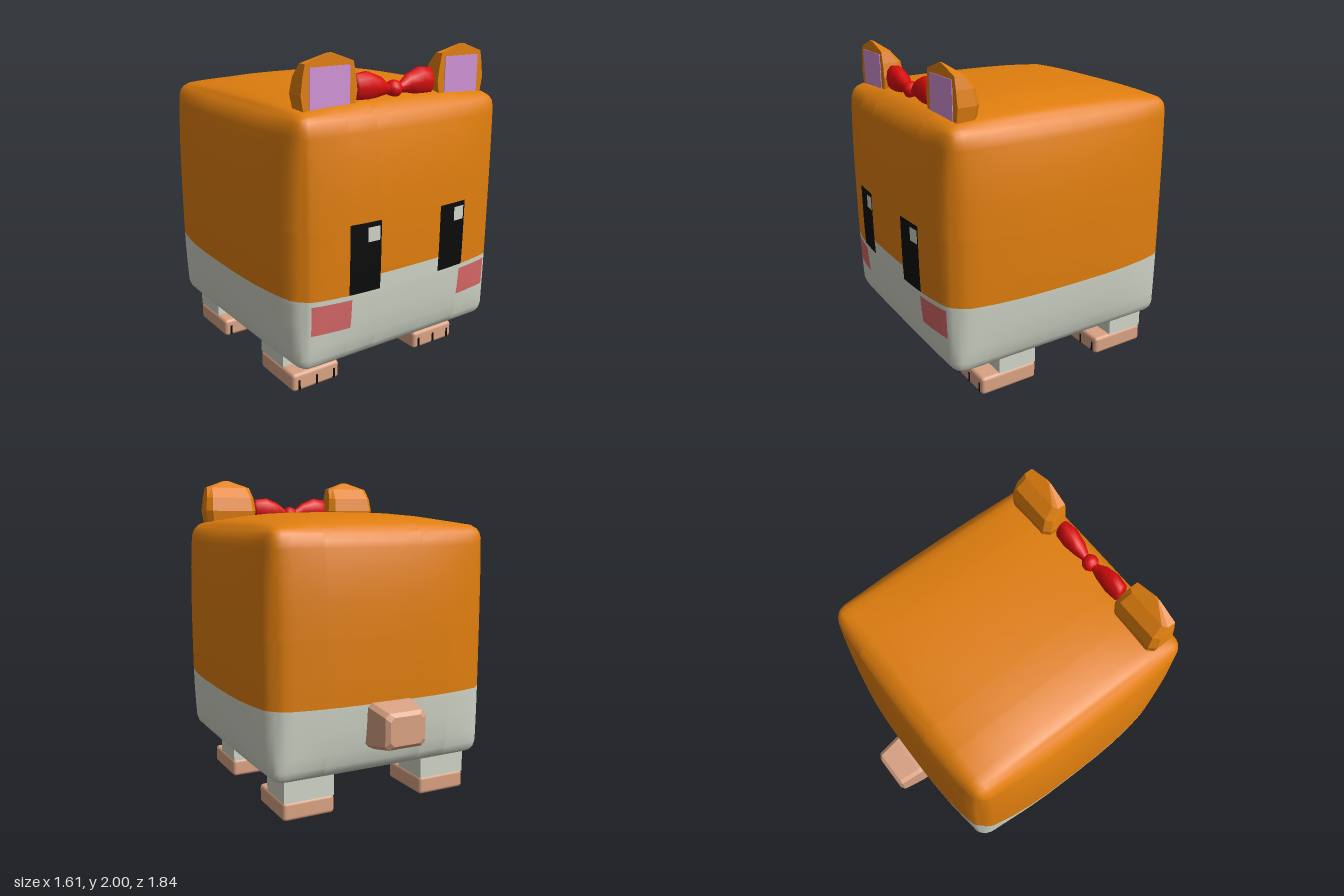
import * as THREE from 'three';
import { mergeVertices } from 'three/addons/utils/BufferGeometryUtils.js';
import { RoundedBoxGeometry } from 'three/addons/geometries/RoundedBoxGeometry.js';

const mat = (name, color) => {
  const m = new THREE.MeshStandardMaterial({ color });
  m.name = name;
  return m;
};

function part(parent, name, geometry, material, x = 0, y = 0, z = 0) {
  const mesh = new THREE.Mesh(geometry, material);
  mesh.name = name;
  mesh.position.set(x, y, z);
  parent.add(mesh);
  return mesh;
}

// Skin over a stack of rings (counter-clockwise seen from the far end), capped at both ends
function loft(rings, smooth) {
  const n = rings[0].length, pos = rings.flat(2), index = [];
  for (let i = 0; i < rings.length - 1; i++) {
    for (let j = 0; j < n; j++) {
      const a = i * n + j, b = i * n + (j + 1) % n;
      index.push(a, b, b + n, a, b + n, a + n);
    }
  }
  const last = (rings.length - 1) * n;
  for (let j = 1; j < n - 1; j++) index.push(0, j + 1, j, last, last + j, last + j + 1);
  let g = new THREE.BufferGeometry();
  g.setAttribute('position', new THREE.Float32BufferAttribute(pos, 3));
  g.setIndex(index);
  if (!smooth) g = g.toNonIndexed();
  g.computeVertexNormals();
  return g;
}

// Bulging rounded cube whose grid lines follow the face markings
function bodyGeometry(pickColor) {
  const xs = [-.72, -.69, -.66, -.6, -.5, -.435, -.415, -.32, -.24, -.23, -.1, 0, .1, .21, .325, .4, .405, .415, .5, .6, .65, .69, .72];
  const ys = [.24, .27, .32, .4, .475, .55, .65, .68, .77, .85, .975, 1.06, 1.09, 1.2, 1.3, 1.4, 1.5, 1.58, 1.62, 1.67, 1.7];
  const zs = [-.665, -.635, -.585, -.45, -.3, -.15, .09, .3, .45, .6, .7, .765, .815, .845];
  const center = new THREE.Vector3(0, .97, .09), half = new THREE.Vector3(.72, .73, .755);
  const r = .08, core = half.clone().subScalar(r), coreMin = core.clone().negate();
  let g = new THREE.BoxGeometry(2, 2, 2, xs.length - 1, ys.length - 1, zs.length - 1);
  const p = g.attributes.position;
  const at = (list, c) => list[Math.round((c + 1) / 2 * (list.length - 1))];
  const fade = (a, b) => (1 - Math.abs(a) ** 3) * (1 - Math.abs(b) ** 3);
  for (let i = 0; i < p.count; i++) {
    const v = new THREE.Vector3(at(xs, p.getX(i)), at(ys, p.getY(i)), at(zs, p.getZ(i))).sub(center);
    const u = v.clone().divide(half);
    const inner = v.clone().clamp(coreMin, core);
    v.sub(inner).setLength(r).add(inner).add(center);
    v.x += .085 * u.x ** 3 * fade(u.y, u.z);
    v.y += (u.y > 0 ? .08 : .02) * Math.sign(u.y) * u.y ** 8 * fade(u.x, u.z);
    v.z += .077 * u.z ** 3 * fade(u.x, u.y);
    p.setXYZ(i, v.x, v.y, v.z);
  }
  g.deleteAttribute('normal');
  g.deleteAttribute('uv');
  g.clearGroups();
  g = mergeVertices(g, 1e-5);
  g.computeVertexNormals();
  // Sort the triangles into one group for each colour
  const buckets = [[], [], [], []], q = g.attributes.position, idx = g.index.array;
  for (let i = 0; i < idx.length; i += 3) {
    const t = [idx[i], idx[i + 1], idx[i + 2]];
    const mid = f => (f(t[0]) + f(t[1]) + f(t[2])) / 3;
    buckets[pickColor(mid(k => q.getX(k)), mid(k => q.getY(k)), mid(k => q.getZ(k)))].push(...t);
  }
  g.setIndex(buckets.flat());
  let start = 0;
  buckets.forEach((b, k) => { g.addGroup(start, b.length, k); start += b.length; });
  return g;
}

// Face markings: 0 fur, 1 white, 2 black, 3 blush
function faceColor(x, y, z) {
  const within = (x0, x1, y0, y1) => z > .8 && x > x0 && x < x1 && y > y0 && y < y1;
  if (within(-.32, -.24, .975, 1.06) || within(.325, .405, .975, 1.06)) return 1;
  if (within(-.435, -.23, .68, 1.09) || within(.21, .415, .68, 1.09)) return 2;
  if (within(-.663, -.415, .475, .65) || within(.4, .653, .475, .65)) return 3;
  return y < .68 || within(-.23, .21, .68, .77) ? 1 : 0;
}

export function createModel() {
  const fur = mat('orange fur', 0xe07e0e), white = mat('white fur', 0xd0d4c6);
  const black = mat('black', 0x0b0b0b), blush = mat('blush', 0xd86868);
  const skin = mat('tan skin', 0xd9a283), pink = mat('inner ear pink', 0xd092d4);
  const red = mat('bow red', 0xdc0c0c);
  const model = new THREE.Group();
  model.name = 'cubePet';

  part(model, 'body', bodyGeometry(faceColor), [fur, white, black, blush]);

  // Ears: flat in front, domed behind; rows are height, half width, back z
  const earRows = [[1.67, .16, .63], [1.71, .168, .622], [1.79, .182, .612], [1.88, .17, .63], [1.95, .155, .69], [2, .015, .75]];
  const earGeometry = loft(earRows.map(([y, w, zb]) => {
    const zm = zb + (.76 - zb) * .25;
    return [[w, y, .76], [w, y, zm], [w * .8, y, zb], [-w * .8, y, zb], [-w, y, zm], [-w, y, .76]];
  }), false);
  for (const s of [-1, 1]) {
    const ear = new THREE.Group();
    ear.name = s > 0 ? 'leftEar' : 'rightEar';
    ear.position.x = s * .473;
    model.add(ear);
    part(ear, 'outerEar', earGeometry, fur);
    part(ear, 'innerEar', new THREE.BoxGeometry(.26, .225, .006), pink, 0, 1.818, .761);
  }

  // Bow: mirrored loops of oval sections (x, centre y, y radius, z radius) and a knot
  const loop = [[.28, 1.79, .05, .025], [.268, 1.795, .078, .045], [.19, 1.798, .084, .055], [.1, 1.79, .056, .045], [.04, 1.77, .027, .025]];
  const sections = [...loop.map(([x, ...rest]) => [-x, ...rest]), ...loop.slice().reverse()];
  const bow = new THREE.Group();
  bow.name = 'bow';
  model.add(bow);
  part(bow, 'bowLoops', loft(sections.map(([x, yc, ry, rz]) =>
    Array.from({ length: 10 }, (_, k) => {
      const a = k / 10 * Math.PI * 2;
      return [x, yc + ry * Math.sin(a), .712 - rz * Math.cos(a)];
    })), true), red);
  part(bow, 'bowKnot', new THREE.SphereGeometry(.052, 10, 8), red, 0, 1.767, .712);

  // Tail: tapered block with cut corners; rows are z, half width, half height
  const tailRows = [[-.66, .157, .14], [-.76, .153, .135], [-.9, .135, .108], [-.92, .11, .085]];
  part(model, 'tail', loft(tailRows.map(([z, w, h]) => {
    const c = .025;
    return [[-w, -h + c], [-w, h - c], [-w + c, h], [w - c, h], [w, h - c], [w, -h + c], [w - c, -h], [-w + c, -h]]
      .map(([x, y]) => [x, y + .55, z]);
  }), false), skin);

  // Legs with paws pointing forward and claw lines
  for (const s of [-1, 1]) {
    for (const [end, back, depth] of [['front', .247, .383], ['back', -.605, .375]]) {
      const leg = new THREE.Group();
      leg.name = `${end}${s > 0 ? 'Left' : 'Right'}Leg`;
      leg.position.set(s * .47, 0, back);
      model.add(leg);
      part(leg, 'shin', new THREE.BoxGeometry(.322, .19, .258), white, 0, .205, .131);
      part(leg, 'paw', new RoundedBoxGeometry(.332, .116, depth, 2, .022), skin, 0, .058, depth / 2);
      for (const x of [-.125, 0, .125]) {
        part(leg, 'claw', new THREE.BoxGeometry(.014, .062, .006), black, x, .043, depth);
      }
    }
  }
  return model;
}
